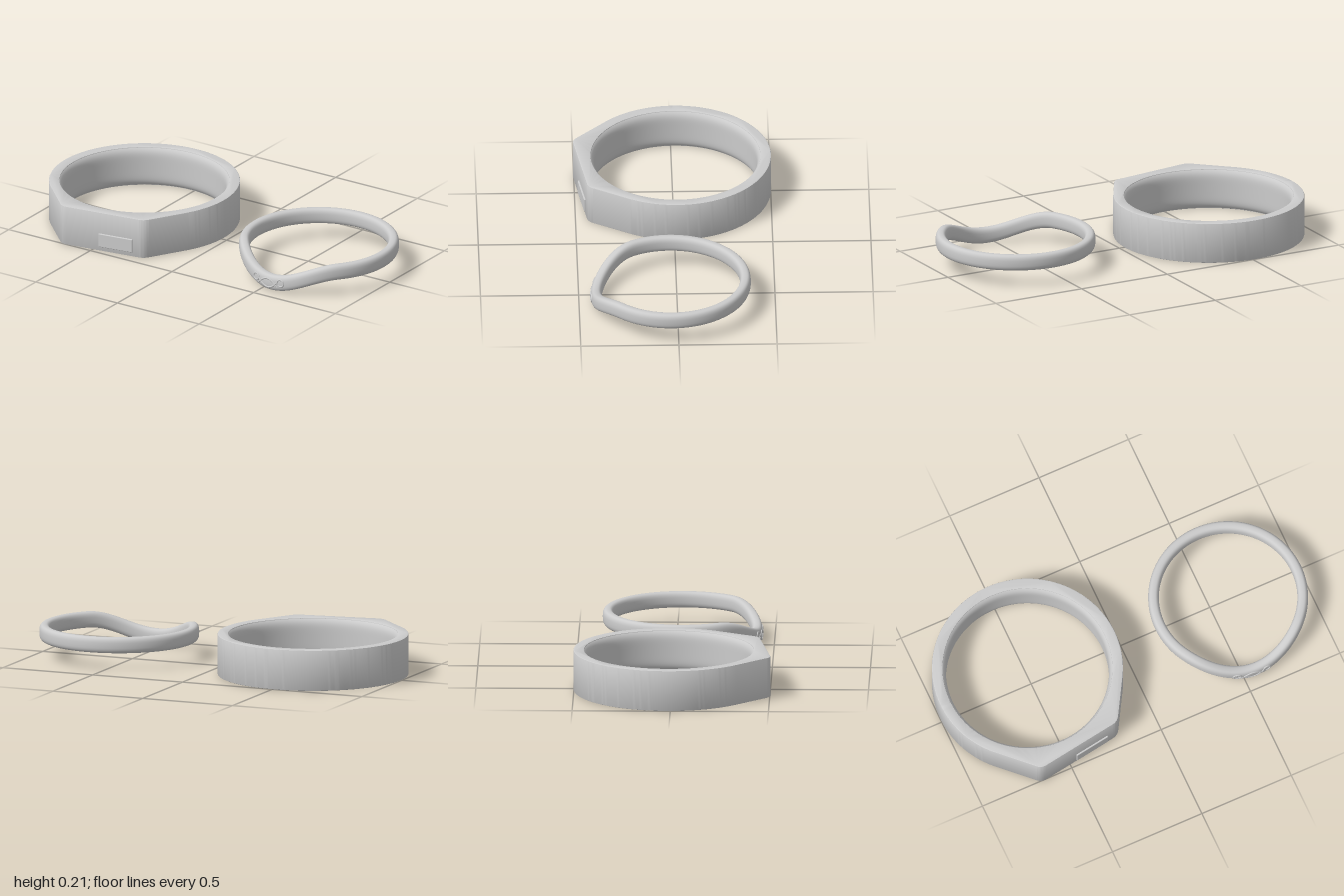
import * as THREE from 'three';
import { toCreasedNormals } from 'three/addons/utils/BufferGeometryUtils.js';
import { RoundedBoxGeometry } from 'three/addons/geometries/RoundedBoxGeometry.js';

const material = new THREE.MeshStandardMaterial({ color: 0xcccccc, roughness: 0.5 });

function part(name, geometry, parent) {
  const mesh = new THREE.Mesh(geometry, material);
  mesh.name = name;
  parent.add(mesh);
  return mesh;
}

// ---- Wide signet band: round at the back, angled flat at the front ----
const BAND = { x: -0.513, z: -0.016, r: 0.487, h: 0.21, bore: 0.415, lip: 0.022 };
const flatL = new THREE.Vector2(-0.672, 0.508);
const flatR = new THREE.Vector2(-0.215, 0.438);

function wideBand() {
  const group = new THREE.Group();
  group.name = 'wideBand';
  const { x, z, r, h, bore, lip } = BAND;
  const bevel = 0.005;

  // Outline seen from above, shape y standing for z
  const a0 = THREE.MathUtils.degToRad(133.5), a1 = THREE.MathUtils.degToRad(389.5);
  const onCircle = a => new THREE.Vector2(x + r * Math.cos(a), z + r * Math.sin(a));
  const start = onCircle(a0), end = onCircle(a1);
  const shape = new THREE.Shape();
  shape.absarc(x, z, r, a0, a1, false);
  const roundCorner = (from, corner, to, d) => {
    const p = corner.clone().add(from.clone().sub(corner).setLength(d));
    const q = corner.clone().add(to.clone().sub(corner).setLength(d));
    shape.lineTo(p.x, p.y);
    shape.quadraticCurveTo(corner.x, corner.y, q.x, q.y);
  };
  roundCorner(end, flatR, flatL, 0.03);
  roundCorner(flatR, flatL, start, 0.03);
  shape.closePath();
  const hole = new THREE.Path();
  hole.absarc(x, z, bore + lip - bevel, 0, Math.PI * 2, true);
  shape.holes.push(hole);

  const outer = new THREE.ExtrudeGeometry(shape, {
    depth: h - 2 * bevel, curveSegments: 96, bevelEnabled: true,
    bevelSize: bevel, bevelThickness: bevel, bevelOffset: -bevel, bevelSegments: 2,
  });
  outer.translate(0, 0, bevel).rotateX(Math.PI / 2).translate(0, h, 0);
  part('bandBody', toCreasedNormals(outer, 0.55), group);

  // Softly domed inner surface
  const profile = [];
  for (let i = 0; i <= 28; i++) {
    const t = Math.cos((i / 28) * Math.PI);
    profile.push(new THREE.Vector2(bore + lip * t ** 6, h / 2 * (1 + t)));
  }
  part('bandLining', new THREE.LatheGeometry(profile, 128), group).position.set(x, 0, z);

  // Small raised plate on the flat
  const along = flatR.clone().sub(flatL);
  const centre = flatL.clone().addScaledVector(along, (-0.37 - flatL.x) / along.x);
  const plate = part('raisedPlate', new RoundedBoxGeometry(0.19, 0.072, 0.016, 3, 0.004), group);
  plate.position.set(centre.x, 0.06, centre.y);
  plate.rotation.y = -Math.atan2(along.y, along.x);
  return group;
}

// ---- Slim curved band: rounded section, dipping at the front ----
const SLIM = { x: 0.588, z: 0.032, r: 0.38, a: 0.0275, b: 0.0415, n: 2.7, y: 0.128 };
const DIP = { angle: -0.1, width: 0.96, depth: 0.085 };

function centreHeight(phi) {
  const d = Math.atan2(Math.sin(phi - DIP.angle), Math.cos(phi - DIP.angle));
  const f = Math.abs(d) < DIP.width ? 0.5 + 0.5 * Math.cos(Math.PI * d / DIP.width) : 0;
  return SLIM.y - DIP.depth * f;
}

function slimBandGeometry() {
  const around = 160, section = 28, positions = [], index = [];
  const power = v => Math.sign(v) * Math.abs(v) ** (2 / SLIM.n);
  for (let i = 0; i < around; i++) {
    const phi = (i / around) * Math.PI * 2;
    for (let j = 0; j < section; j++) {
      const t = (j / section) * Math.PI * 2;
      const r = SLIM.r + SLIM.a * power(Math.cos(t));
      positions.push(SLIM.x + r * Math.sin(phi),
        centreHeight(phi) + SLIM.b * power(Math.sin(t)),
        SLIM.z + r * Math.cos(phi));
      const i2 = (i + 1) % around, j2 = (j + 1) % section;
      const p = i * section + j, q = i2 * section + j;
      const s = i2 * section + j2, u = i * section + j2;
      index.push(p, q, s, p, s, u);
    }
  }
  const geometry = new THREE.BufferGeometry();
  geometry.setAttribute('position', new THREE.Float32BufferAttribute(positions, 3));
  geometry.setIndex(index);
  geometry.computeVertexNormals();
  return geometry;
}

// Point on the outer face of the slim band at a given x and y
function onSlimFace(x, y) {
  const phi = Math.asin((x - SLIM.x) / (SLIM.r + SLIM.a));
  const v = Math.min(Math.abs(y - centreHeight(phi)) / SLIM.b, 0.97);
  const r = SLIM.r + SLIM.a * (1 - v ** SLIM.n) ** (1 / SLIM.n);
  return new THREE.Vector3(SLIM.x + r * Math.sin(phi), y, SLIM.z + r * Math.cos(phi));
}

function slimBand() {
  const group = new THREE.Group();
  group.name = 'slimBand';
  part('slimBandBody', slimBandGeometry(), group);

  // Wire ornament: two crossing arcs between two small loops
  const cx = 0.542, cy = 0.043, wire = 0.0045;
  const trace = (name, fn, closed) => {
    const points = [];
    const count = 24;
    for (let i = 0; i < (closed ? count : count + 1); i++) {
      const [x, y] = fn(i / count);
      points.push(onSlimFace(cx + x, cy + y));
    }
    const curve = new THREE.CatmullRomCurve3(points, closed);
    part(name, new THREE.TubeGeometry(curve, 48, wire, 8, closed), group);
  };
  for (const side of [-1, 1]) {
    trace(side > 0 ? 'upperArc' : 'lowerArc', t => {
      const s = 2 * t - 1;
      return [0.06 * s, side * (0.023 - 0.037 * s * s)];
    }, false);
    trace(side > 0 ? 'leftLoop' : 'rightLoop', t => {
      const a = t * Math.PI * 2;
      return [side * 0.079 + 0.019 * Math.cos(a), 0.013 + 0.018 * Math.sin(a)];
    }, true);
  }
  return group;
}

export function createModel() {
  const model = new THREE.Group();
  model.name = 'ringPair';
  model.add(wideBand(), slimBand());
  return model;
}
